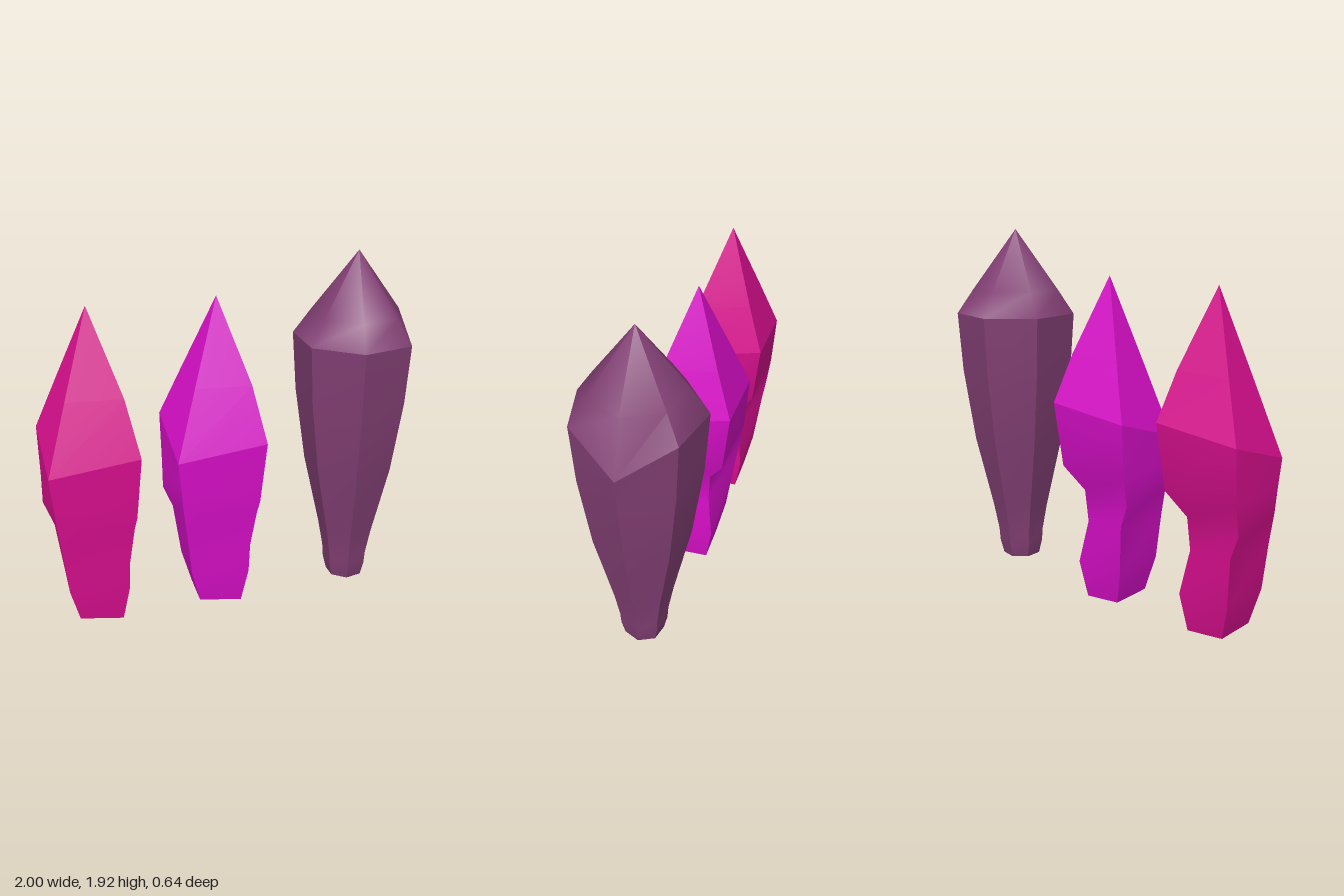
import * as THREE from 'three';
import { toCreasedNormals } from 'three/addons/utils/BufferGeometryUtils.js';

// Skin stacked rings of [x, y, z] points; a ring of one point closes the end.
function loft(rings, crease) {
  const pos = [];
  const n = Math.max(...rings.map(r => r.length));
  for (let i = 0; i < rings.length - 1; i++) {
    const lo = rings[i], hi = rings[i + 1];
    for (let j = 0; j < n; j++) {
      const k = (j + 1) % n;
      const a = lo[j % lo.length], b = lo[k % lo.length];
      const c = hi[k % hi.length], d = hi[j % hi.length];
      if (lo.length > 1) pos.push(...a, ...b, ...c);
      if (hi.length > 1) pos.push(...a, ...c, ...d);
    }
  }
  const g = new THREE.BufferGeometry();
  g.setAttribute('position', new THREE.Float32BufferAttribute(pos, 3));
  return toCreasedNormals(g, crease);
}

// A crystal is a faceted shaft plus a softly shaded point.
function crystal(name, color, x, shaftRings, pointRings) {
  const group = new THREE.Group();
  group.name = name;
  group.position.x = x;
  const material = new THREE.MeshStandardMaterial({ color });
  const shaft = new THREE.Mesh(loft(shaftRings, 0.65), material);
  shaft.name = name + 'Shaft';
  const point = new THREE.Mesh(loft(pointRings, 0.95), material);
  point.name = name + 'Point';
  group.add(shaft, point);
  return group;
}

// Seven-sided ring; cornerY moves the corner facing +x up or down.
function heptagon(r, y, cornerY = y) {
  return Array.from({ length: 7 }, (_, i) => {
    const a = i * Math.PI * 2 / 7;
    return [r * Math.cos(a), i === 0 ? cornerY : y, -r * Math.sin(a)];
  });
}

export function createModel() {
  const model = new THREE.Group();
  model.name = 'crystals';

  // Large seven-sided crystal with one chipped shoulder
  const shoulder = heptagon(0.33, 1.47, 1.31);
  const tall = [[0.105, 0.05], [0.125, 0.13], [0.13, 0.2], [0.158, 0.35], [0.25, 0.75], [0.308, 1.15]]
    .map(([r, y]) => heptagon(r, y));
  model.add(crystal('largeCrystal', 0x823f74, 0.67,
    [[[0, 0.05, 0]], ...tall, shoulder],
    [shoulder, heptagon(0.24, 1.6), [[0, 1.925, 0]]]));

  // Small four-sided crystal; corners run front left, front right, back right,
  // back left as seen from the front. The back right corner is notched.
  const rim = [[-0.26, 0.9, 0.12], [0.205, 0.98, 0.175], [0.185, 1.08, -0.295], [-0.265, 1.03, -0.29]];
  const shaft = [
    [[-0.02, 0.015, -0.04]],
    [[-0.14, 0.03, 0.06], [0.09, 0.005, 0.08], [0.08, 0, -0.155], [-0.13, 0.02, -0.16]],
    [[-0.19, 0.22, 0.09], [0.125, 0.2, 0.11], [0.11, 0.2, -0.19], [-0.18, 0.2, -0.2]],
    [[-0.215, 0.46, 0.1], [0.135, 0.36, 0.105], [0.07, 0.43, -0.16], [-0.215, 0.48, -0.235]],
    [[-0.235, 0.62, 0.11], [0.16, 0.57, 0.14], [0.085, 0.6, -0.17], [-0.265, 0.6, -0.25]],
    [[-0.245, 0.75, 0.115], [0.175, 0.64, 0.15], [0.16, 0.74, -0.255], [-0.262, 0.75, -0.27]],
    rim,
  ];
  const point = [
    rim,
    [[-0.145, 1.27, 0.035], [0.145, 1.28, 0.09], [0.13, 1.33, -0.21], [-0.155, 1.32, -0.2]],
    [[0, 1.725, -0.07]],
  ];
  model.add(crystal('magentaCrystal', 0xd80fc8, -0.07, shaft, point));
  model.add(crystal('pinkCrystal', 0xd90f8f, -0.735, shaft, point));
  return model;
}
